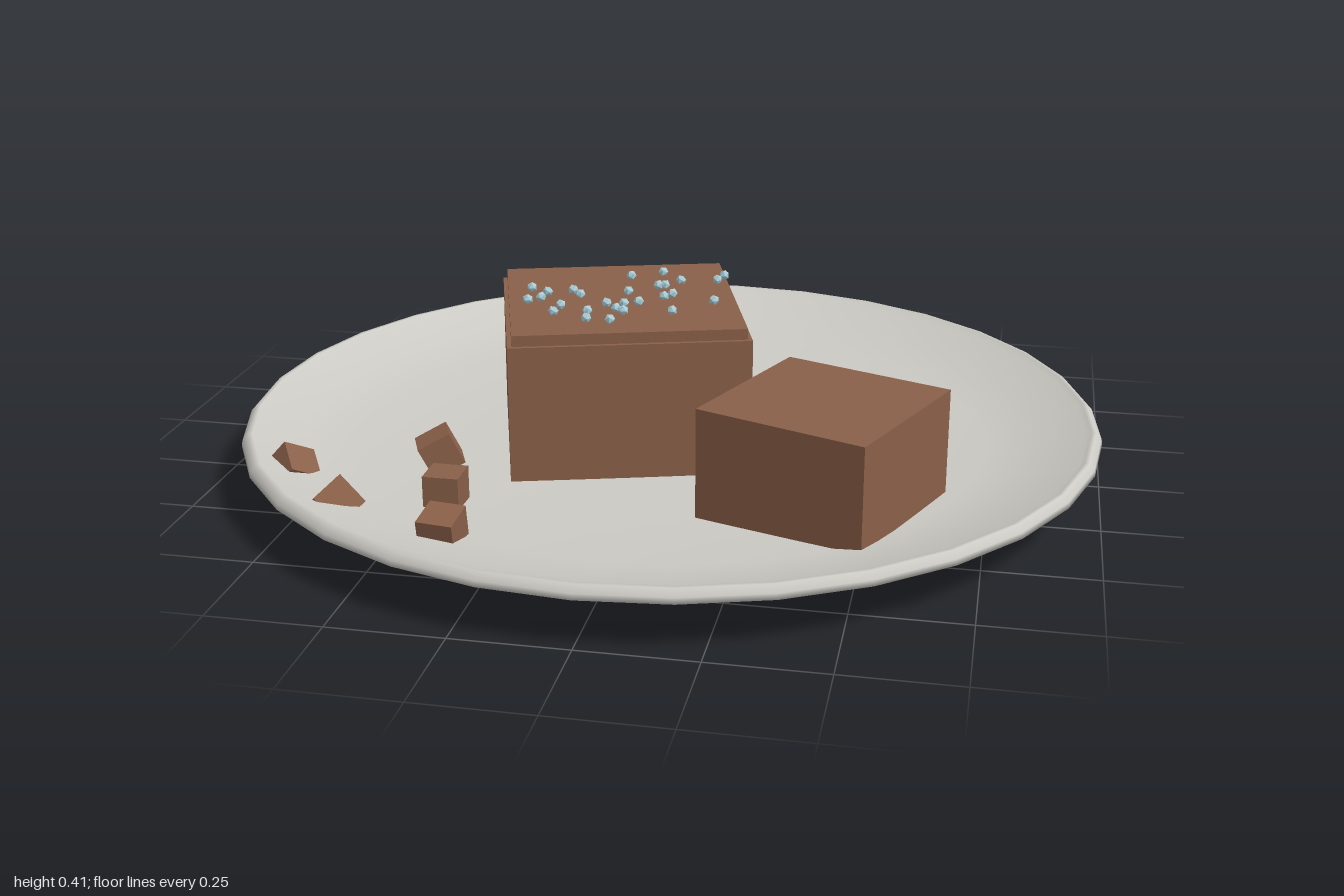
import * as THREE from 'three';

export function createModel() {
  const model = new THREE.Group();
  const mat = (name, color) => {
    const m = new THREE.MeshStandardMaterial({ color });
    m.name = name;
    return m;
  };
  const ceramic = mat('plateGrey', 0xcccac4);
  const chocolate = mat('cakeBrown', 0x8a6049);
  const sugar = mat('sprinkleBlue', 0xa9cdd6);

  const add = (name, geometry, material, position, rotation = [0, 0, 0], parent = model) => {
    const mesh = new THREE.Mesh(geometry, material);
    mesh.name = name;
    mesh.position.set(...position);
    mesh.rotation.set(...rotation);
    parent.add(mesh);
    return mesh;
  };
  const group = (name) => {
    const g = new THREE.Group();
    g.name = name;
    model.add(g);
    return g;
  };

  // Shallow dished plate: underside, lip, then inner face back to the centre
  const profile = [
    [0, 0], [0.715, 0], [0.765, 0.018], [1, 0.105], [0.998, 0.118], [0.985, 0.132],
    [0.975, 0.132], [0.965, 0.122], [0.86, 0.089], [0.74, 0.062], [0.45, 0.049], [0, 0.045],
  ].map(([r, y]) => new THREE.Vector2(r, y));
  add('plate', new THREE.LatheGeometry(profile, 32), ceramic, [0, 0, 0]);

  // Large cake square with a slightly inset top layer
  add('largeCake', new THREE.BoxGeometry(0.545, 0.335, 0.545), chocolate, [-0.12, 0.1975, 0], [0, 0.29, 0]);
  add('cakeTopLayer', new THREE.BoxGeometry(0.525, 0.025, 0.525), chocolate, [-0.12, 0.3775, 0], [0, 0.29, 0]);

  // Small cake square
  add('smallCake', new THREE.BoxGeometry(0.4, 0.25, 0.4), chocolate, [0.4, 0.175, 0.348], [0, -0.385, 0]);

  // Crumbs: position and tilt
  const crumbs = group('crumbs');
  const crumbGeometry = new THREE.BoxGeometry(0.08, 0.08, 0.08);
  [
    [[-0.405, 0.09, 0.495], [0, 0, 0]],
    [[-0.485, 0.09, 0.285], [0, 0.4, 0.45]],
    [[-0.35, 0.085, 0.695], [0.2, -0.1, 0]],
    [[-0.775, 0.085, 0.45], [0.6, 0.5, 0.7]],
    [[-0.62, 0.08, 0.6], [0.5, -0.5, -0.65]],
  ].forEach(([p, r]) => add('crumb', crumbGeometry, chocolate, p, r, crumbs));

  // Sprinkles scattered on the large cake (x, z)
  const sprinkles = group('sprinkles');
  const sprinkleGeometry = new THREE.IcosahedronGeometry(0.0125, 0);
  [
    [-0.06, -0.2], [-0.13, -0.155], [0.09, -0.2], [0.08, -0.16], [-0.005, -0.14], [-0.035, -0.095],
    [-0.05, -0.09], [-0.34, -0.015], [-0.24, -0.015], [-0.11, -0.03], [-0.005, -0.03], [-0.02, -0.005],
    [0.1, 0.005], [-0.295, 0.01], [-0.215, 0.015], [-0.3, 0.055], [-0.325, 0.08], [-0.14, 0.07],
    [-0.1, 0.065], [-0.07, 0.045], [0.02, 0.1], [-0.24, 0.105], [-0.245, 0.155], [-0.17, 0.135],
    [-0.11, 0.105], [-0.09, 0.12], [-0.16, 0.19], [-0.105, 0.19],
  ].forEach(([x, z], i) => add('sprinkle', sprinkleGeometry, sugar, [x, 0.398, z], [0, i * 0.7, 0], sprinkles));

  return model;
}
